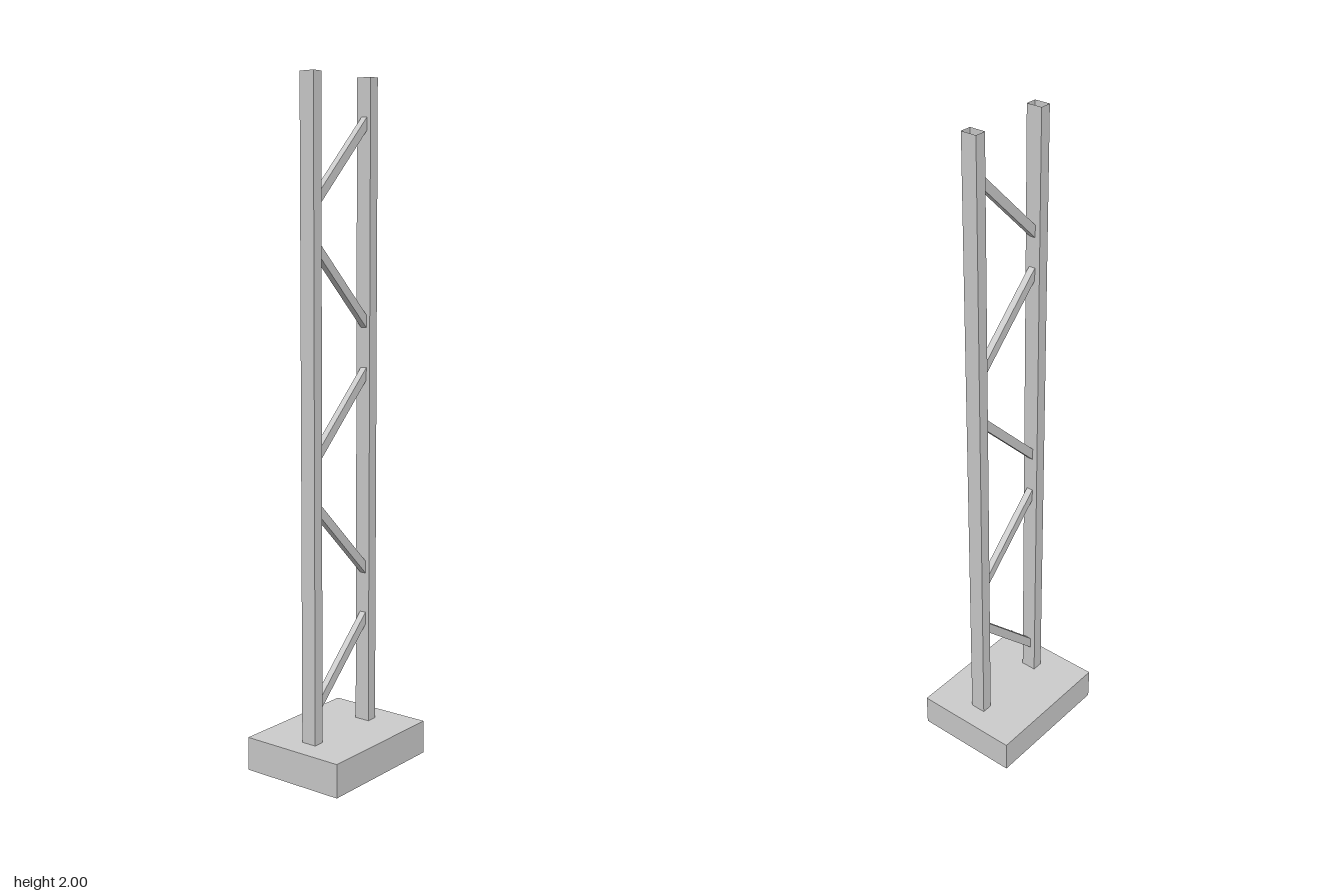
import * as THREE from 'three';

const material = new THREE.MeshStandardMaterial({ color: 0xcccccc, flatShading: true, side: THREE.DoubleSide });

// Box shell without the listed faces (order of box faces: +x, -x, +y, -y, +z, -z)
function openBox(name, w, h, d, openFaces) {
  const geometry = new THREE.BoxGeometry(w, h, d);
  const index = Array.from(geometry.index.array);
  geometry.setIndex(index.filter((_, i) => !openFaces.includes(Math.floor(i / 6))));
  geometry.clearGroups();
  const mesh = new THREE.Mesh(geometry, material);
  mesh.name = name;
  return mesh;
}

// Diagonal bar with ends cut parallel to the posts; yFront and yBack are its lower corners
function brace(yFront, yBack) {
  const zFront = 0.112, zBack = -0.115, height = 0.037, width = 0.02;
  const shape = new THREE.Shape([
    new THREE.Vector2(-zFront, yFront),
    new THREE.Vector2(-zBack, yBack),
    new THREE.Vector2(-zBack, yBack + height),
    new THREE.Vector2(-zFront, yFront + height),
  ]);
  const geometry = new THREE.ExtrudeGeometry(shape, { depth: width, bevelEnabled: false });
  geometry.rotateY(Math.PI / 2); // shape x becomes -z, depth becomes +x
  const mesh = new THREE.Mesh(geometry, material);
  mesh.name = 'brace';
  return mesh;
}

export function createModel() {
  const group = new THREE.Group();
  group.name = 'latticeColumn';

  // Base plate, hollow from below
  const base = openBox('base', 0.33, 0.1, 0.427, [3]);
  base.position.y = 0.05;
  group.add(base);

  // Two upright tubes, open at both ends
  for (const [name, side] of [['frontPost', 1], ['backPost', -1]]) {
    const post = openBox(name, 0.048, 1.9, 0.034, [2, 3]);
    post.position.set(0.008, 1.05, side * 0.128);
    group.add(post);
  }

  // Zigzag braces between the posts
  const braces = [[0.185, 0.405], [0.775, 0.555], [0.92, 1.142], [1.51, 1.288], [1.635, 1.857]];
  for (const [yFront, yBack] of braces) group.add(brace(yFront, yBack));

  return group;
}
